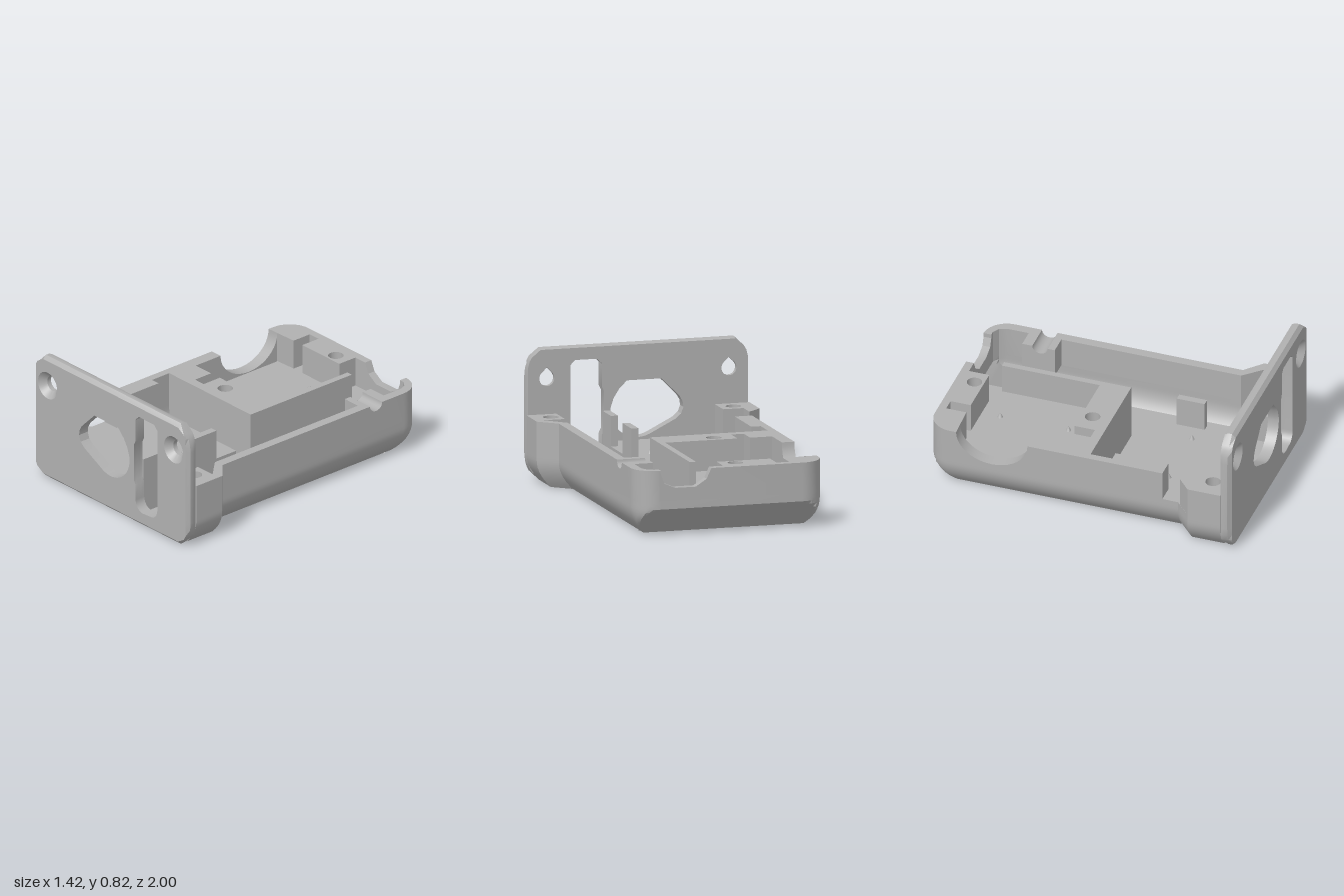
import * as THREE from 'three';
import { toCreasedNormals } from 'three/addons/utils/BufferGeometryUtils.js';

const FLOOR = 0.05, DECK = 0.22, TOP = 0.41;

export function createModel() {
  const group = new THREE.Group();
  const grey = new THREE.MeshStandardMaterial({ color: 0xb0b0b0 });
  grey.name = 'grey plastic';

  const add = (name, geometry) => {
    const mesh = new THREE.Mesh(toCreasedNormals(geometry, 0.5), grey);
    mesh.name = name;
    group.add(mesh);
    return mesh;
  };
  const shapeOf = (pts, sx = 1, sy = 1) =>
    new THREE.Shape(pts.map(([a, b]) => new THREE.Vector2(a * sx, b * sy)));
  const arc = (cx, cy, rx, ry, a0, a1, n) => Array.from({ length: n + 1 }, (_, i) => {
    const a = (a0 + (a1 - a0) * i / n) * Math.PI / 180;
    return [cx + rx * Math.cos(a), cy + ry * Math.sin(a)];
  });

  // Upright prism on a footprint of [x, z] points, with optional round screw hole
  const prism = (name, pts, hole, y0 = DECK, y1 = TOP) => {
    const shape = shapeOf(pts, 1, -1);
    if (hole) shape.holes.push(new THREE.Path().absarc(hole[0], -hole[1], 0.047, 0, Math.PI * 2));
    const g = new THREE.ExtrudeGeometry(shape, { depth: y1 - y0, bevelEnabled: false, curveSegments: 16 });
    g.rotateX(-Math.PI / 2).translate(0, y0, 0);
    return add(name, g);
  };
  // Prism along x from a profile of [z, y] points
  const prismX = (name, pts, x0, x1) => {
    const g = new THREE.ExtrudeGeometry(shapeOf(pts, -1, 1), { depth: x1 - x0, bevelEnabled: false });
    g.rotateY(Math.PI / 2).translate(x0, 0, 0);
    return add(name, g);
  };

  // Lower tray: sides curve in towards the bottom, back is cut at 45 degrees
  const inset = y => 0.09 * Math.max(0, (0.17 - y) / 0.17) ** 2;
  const cornerR = arc(0.45, -0.85, 0.15, 0.15, 0, -90, 10);
  const cornerL = arc(-0.45, -0.85, 0.15, 0.15, -90, -180, 10);
  const outline = [[0.71, 0.93], [0.71, 0.72], [0.6, 0.62], ...cornerR, ...cornerL,
    [-0.6, 0.62], [-0.71, 0.72], [-0.71, 0.93]];
  const innerCorner = [[0.48, -0.95], [0.52, -0.925], [0.54, -0.88]];
  const channelPath = [[0.225, 0.93], [0.225, 0.18], [-0.55, 0.18], [-0.55, 0.04], [0.2, 0.04],
    [0.2, -0.95], ...innerCorner, [0.54, 0.63], [0.655, 0.75], [0.52, 0.75], [0.52, 0.93]];
  const outer = y => outline.map(([x, z]) =>
    [x - Math.sign(x) * inset(y), Math.max(z, -1 + Math.max(0, 0.17 - y))]);
  const channel = y => channelPath.map(([x, z]) =>
    [Math.abs(x) > 0.53 ? x - Math.sign(x) * inset(y) : x, Math.max(z, -0.95 + Math.max(0, 0.19 - y))]);

  const levels = [0, 0.025, FLOOR, 0.075, 0.1, 0.125, 0.15, 0.17, 0.19, DECK];
  const rings = levels.map(y => [...outer(y), ...channel(y)].map(([x, z]) => [x, y, z]));
  const pos = [];
  for (let k = 0; k < rings.length - 1; k++) {
    const n = rings[k].length;
    for (let i = 0; i < n; i++) {
      const j = (i + 1) % n;
      const a = rings[k][i], b = rings[k][j], c = rings[k + 1][j], d = rings[k + 1][i];
      pos.push(...a, ...b, ...c, ...a, ...c, ...d);
    }
  }
  const wall = new THREE.BufferGeometry();
  wall.setAttribute('position', new THREE.Float32BufferAttribute(pos, 3));
  add('trayWalls', wall);
  const sheet = (name, pts, y) =>
    add(name, new THREE.ShapeGeometry(shapeOf(pts, 1, -1)).rotateX(-Math.PI / 2).translate(0, y, 0));
  sheet('deck', [...outer(DECK), ...channel(DECK)], DECK);
  sheet('channelFloor', channel(FLOOR), FLOOR);
  add('trayBottom', new THREE.ShapeGeometry(shapeOf(outer(0))).rotateX(Math.PI / 2));

  // Upper walls and blocks
  prism('leftWall', [[0.71, 0.93], [0.71, 0.72], [0.6, 0.62], [0.6, -0.53], [0.54, -0.53],
    [0.54, 0.63], [0.655, 0.75], [0.52, 0.75], [0.52, 0.93]], [0.585, 0.835]);
  prism('backCornerWall', [[0.6, -0.74], ...cornerR, [0.45, -0.95], ...innerCorner, [0.54, -0.74]]);
  prism('backBlock', [[0.13, -1], ...cornerL, [-0.6, -0.81], [-0.38, -0.82], [-0.38, -0.95],
    [-0.3, -0.95], [-0.3, -0.82], [0.04, -0.82], [0.04, -0.95], [0.13, -0.95]], [-0.06, -0.88]);
  prism('middleBlock', [[-0.6, -0.35], [-0.52, -0.35], [-0.52, -0.15], [-0.38, -0.15],
    [-0.38, -0.02], [-0.3, -0.02], [-0.3, -0.15], [0.16, -0.15], [0.16, -0.78], [0.2, -0.78],
    [0.2, 0.04], [-0.55, 0.04], [-0.55, 0.18], [-0.49, 0.18], [-0.49, 0.52], [-0.6, 0.52]],
  [-0.17, -0.08]);
  prism('rightEar', [[-0.62, 0.64], [-0.71, 0.72], [-0.71, 0.93], [-0.49, 0.93],
    [-0.49, 0.76], [-0.62, 0.76]], [-0.58, 0.84]);
  for (const [z0, z1] of [[0.34, 0.52], [0.76, 0.93]])
    prism('deckTab', [[0.18, z0], [0.225, z0], [0.225, z1], [0.18, z1]]);

  // Walls with curved cut-outs
  prismX('sideNotch', [[-0.81, DECK], [-0.35, DECK],
    ...arc(-0.58, TOP, 0.23, 0.185, 0, -180, 20)], -0.6, -0.52);
  prismX('cableClamp', [[-0.74, DECK], [-0.53, DECK], [-0.53, TOP],
    ...arc(-0.625, TOP, 0.05, 0.045, 0, -180, 12), [-0.74, TOP]], 0.42, 0.6);
  const backNotch = new THREE.ExtrudeGeometry(shapeOf([[0.13, DECK], [0.46, DECK], [0.46, TOP],
    [0.43, 0.33], [0.36, 0.3], [0.23, 0.3], [0.16, 0.345], [0.13, TOP]]), { depth: 0.05, bevelEnabled: false });
  add('backNotch', backNotch.translate(0, 0, -1));

  // Locating pegs
  for (const [x, z] of [[-0.1, -0.7], [-0.1, -0.26], [-0.37, 0.48], [0.06, 0.48]])
    add('peg', new THREE.ConeGeometry(0.017, 0.035, 12).translate(x, DECK + 0.017, z));

  // Front plate with its openings
  const quarter = [[0.62, 0], [0.675, 0.055], [0.69, 0.08], [0.705, 0.12], [0.71, 0.17]];
  const half = [...quarter, ...quarter.map(([x, y]) => [x, 0.82 - y]).reverse()];
  const plate = shapeOf([...half, ...half.map(([x, y]) => [-x, y]).reverse()]);
  plate.holes.push(
    shapeOf([[-0.15, 0.59], [0.07, 0.59], [0.12, 0.54], [0.155, 0.485],
      ...arc(0, 0.41, 0.175, 0.175, 5, -115, 16), [-0.24, 0.335], [-0.275, 0.365],
      [-0.29, 0.405], [-0.285, 0.44], [-0.265, 0.475]]),
    shapeOf([[0.26, 0.735], [0.4, 0.735], [0.43, 0.705], [0.43, 0.16],
      ...arc(0.36, 0.16, 0.07, 0.07, -15, -90, 5), ...arc(0.3, 0.16, 0.07, 0.07, -90, -180, 6),
      [0.23, 0.26], [0.215, 0.29], [0.215, 0.53], [0.23, 0.56], [0.23, 0.705]]));
  const screws = [-0.58, 0.58];
  for (const x of screws) plate.holes.push(new THREE.Path().absarc(x, 0.632, 0.088, 0, Math.PI * 2));
  const plateGeo = new THREE.ExtrudeGeometry(plate,
    { depth: 0.07, steps: 3, bevelEnabled: false, curveSegments: 16 }).translate(0, 0, 0.93);
  // Trim the rim at the front and back edges
  const p = plateGeo.attributes.position;
  for (let i = 0; i < p.count; i++) {
    const d = p.getZ(i) > 0.99 ? 0.022 : p.getZ(i) < 0.94 ? 0.01 : 0;
    p.setX(i, THREE.MathUtils.clamp(p.getX(i), -0.71 + d, 0.71 - d));
    p.setY(i, THREE.MathUtils.clamp(p.getY(i), d, 0.82 - d));
  }
  add('frontPlate', plateGeo);

  // Countersunk screw holes with a teardrop bore
  const profile = [[0.088, 1], [0.048, 0.96], [0.048, 0.93], [0.09, 0.93]];
  for (const x of screws) {
    const g = new THREE.LatheGeometry(profile.map(q => new THREE.Vector2(...q)), 32).rotateX(Math.PI / 2);
    const v = g.attributes.position;
    for (let i = 0; i < v.count; i++) {
      const a = Math.abs(Math.atan2(v.getX(i), v.getY(i)));
      if (Math.hypot(v.getX(i), v.getY(i)) < 0.06 && a < Math.PI / 4) {
        const s = 1 / Math.cos(Math.PI / 4 - a);
        v.setXY(i, v.getX(i) * s, v.getY(i) * s);
      }
    }
    add('screwHole', g.translate(x, 0.632, 0));
  }
  return group;
}
